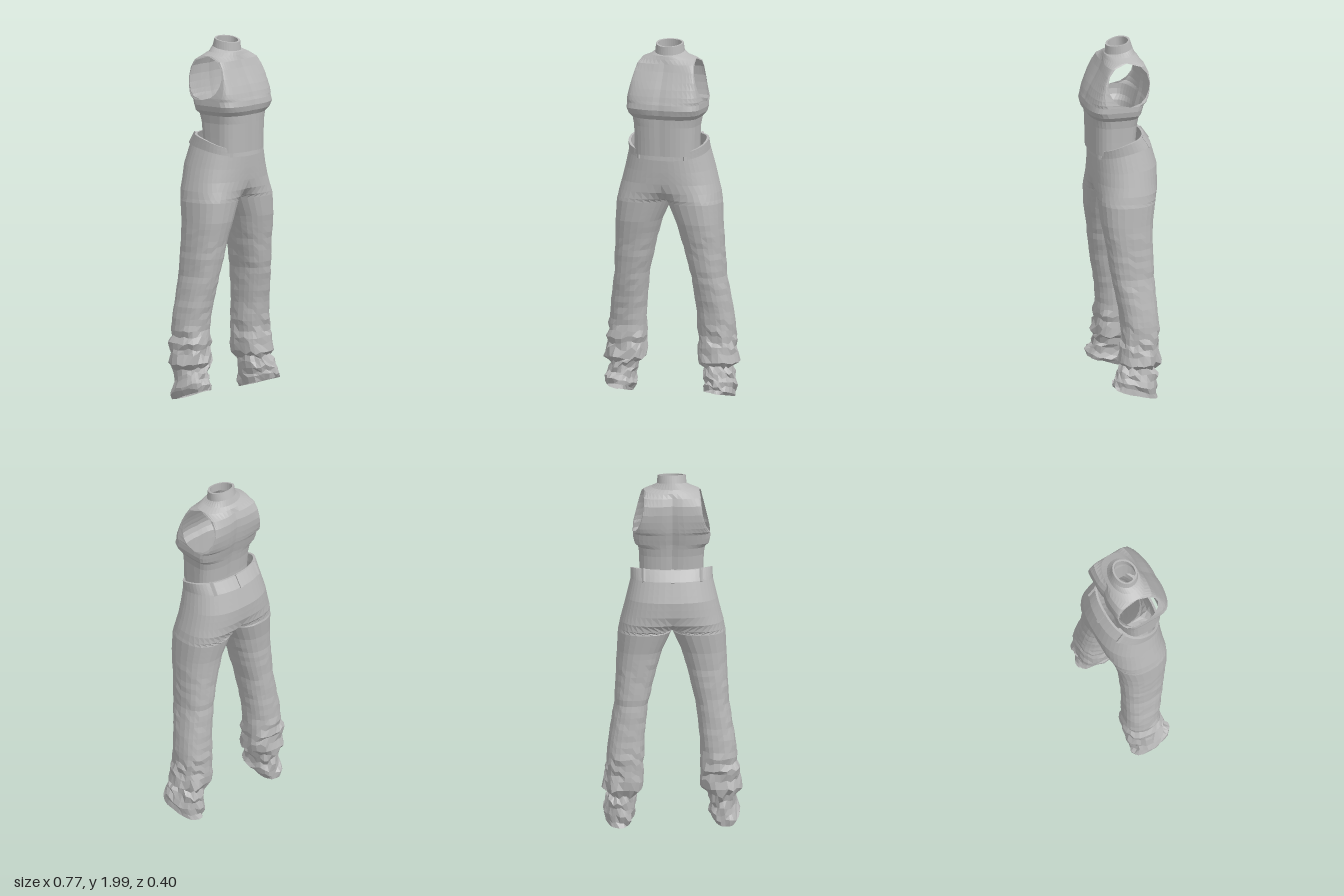
import * as THREE from 'three';

const cloth = new THREE.MeshStandardMaterial({ color: 0xb8b8b8, flatShading: true, side: THREE.DoubleSide });
cloth.name = 'grey cloth';

const lerp = THREE.MathUtils.lerp;
const spow = (v, p) => Math.sign(v) * Math.pow(Math.abs(v), p);
// repeatable noise in -1..1
const noise = (a, b, c) => {
  const s = Math.sin(a * 12.99 + b * 78.23 + c * 37.72) * 43758.55;
  return 2 * (s - Math.floor(s)) - 1;
};

// skin a list of point rows, bottom row first
function skin(name, rows, flip = false) {
  const n = rows[0].length, index = [];
  for (let r = 0; r < rows.length - 1; r++) {
    for (let c = 0; c < n - 1; c++) {
      const a = r * n + c, b = a + 1, d = a + n, e = d + 1;
      if (flip) index.push(a, d, b, b, d, e);
      else index.push(a, b, d, b, e, d);
    }
  }
  const g = new THREE.BufferGeometry().setFromPoints(rows.flat());
  g.setIndex(index);
  g.computeVertexNormals();
  const mesh = new THREE.Mesh(g, cloth);
  mesh.name = name;
  return mesh;
}

// insert evenly lerped rows between the key rows
function refine(keys, step) {
  const out = [];
  for (let i = 0; i < keys.length - 1; i++) {
    const n = Math.max(1, Math.round(Math.abs(keys[i + 1][0] - keys[i][0]) / step));
    for (let k = 0; k < n; k++) out.push(keys[i].map((v, j) => lerp(v, keys[i + 1][j], k / n)));
  }
  out.push(keys[keys.length - 1]);
  return out;
}

// trousers: height, sweep / PI, inner x, outer x, front z, back z, tilt, bend
const legKeys = [
  [0.045, 1, 0.22, 0.36, 0.1, -0.13, -0.037, 0],
  [0.1, 1, 0.21, 0.365, 0.085, -0.135, -0.025, 0],
  [0.19, 1, 0.2, 0.345, 0.06, -0.14, -0.01, 0],
  [0.22, 1, 0.165, 0.375, 0.068, -0.155, 0, 0],
  [0.27, 1, 0.155, 0.372, 0.06, -0.155, 0, 0],
  [0.4, 1, 0.155, 0.36, 0.05, -0.158, 0, 0],
  [0.5, 1, 0.152, 0.348, 0.058, -0.15, 0, 0],
  [0.7, 1, 0.13, 0.315, 0.095, -0.14, 0, 0],
  [0.9, 1, 0.08, 0.305, 0.122, -0.138, 0, 0],
  [1.0, 1, 0.05, 0.3, 0.14, -0.145, 0, 0],
  [1.11, 1, 0, 0.295, 0.147, -0.165, 0, 0],
  [1.13, 0.8, 0, 0.29, 0.148, -0.172, 0, 0],
  [1.17, 0.63, 0, 0.283, 0.15, -0.187, 0, 0],
  [1.22, 0.54, 0, 0.27, 0.153, -0.196, 0, 0],
  [1.3, 0.51, 0, 0.25, 0.156, -0.2, 0.008, 0.004],
  [1.4, 0.5, 0, 0.226, 0.157, -0.17, 0.032, 0.015],
  [1.455, 0.5, 0, 0.225, 0.152, -0.13, 0.0425, 0.0225],
];

// a point on a half-trouser section; angle 0 is the outer side, PI / 2 the front
function legPoint([y, sweep, xi, xo, zF, zB, tilt, bend], angle, side) {
  const c = v => spow(Math.cos(v), 0.85), s = spow(Math.sin(angle), 0.85);
  const edge = c(sweep * Math.PI);
  const rx = (xo - xi) / (1 - edge);
  return new THREE.Vector3(
    side * (xi + rx * (c(angle) - edge)),
    y - tilt * s - bend * s * s,
    (zF + zB) / 2 + s * (zF - zB) / 2
  );
}

function trouserHalf(side) {
  const N = 24;
  const keys = refine(legKeys, 0.035);
  // turn the waist edge inward
  const rim = legKeys[legKeys.length - 1];
  keys.push([rim[0], 0.5, 0, 0.212, 0.14, -0.118, rim[6], rim[7]]);
  keys.push([rim[0] - 0.05, 0.5, 0, 0.212, 0.14, -0.14, rim[6], rim[7]]);
  const rows = keys.map((key, r) => {
    const a = key[1] * Math.PI, y = key[0];
    // crumpled cloth gathers toward the ankle
    const crumple = 0.017 * THREE.MathUtils.smoothstep(0.5 - y, 0, 0.25) + (y < 0.95 ? 0.003 : 0);
    return Array.from({ length: N + 1 }, (_, i) => {
      const p = legPoint(key, lerp(a, -a, i / N), side);
      const k = i % N;
      const out = crumple * (0.55 * noise(k >> 1, r, side) + 0.45 * noise(r, 3, side));
      const cx = side * (key[2] + key[3]) / 2, cz = (key[4] + key[5]) / 2;
      const len = Math.hypot(p.x - cx, p.z - cz) || 1;
      p.x += out * (p.x - cx) / len;
      p.z += out * (p.z - cz) / len;
      if (r > 0) p.y += crumple * 0.6 * noise(k, r + 7, side);
      return p;
    });
  });
  return skin(side > 0 ? 'leftTrouserHalf' : 'rightTrouserHalf', rows, side < 0);
}

// belt loop standing on the waistband at a given angle
function beltLoop(angle, side) {
  const low = legPoint(legKeys[15], angle, side), high = legPoint(legKeys[16], angle, side);
  const loop = new THREE.Mesh(new THREE.BoxGeometry(0.018, low.distanceTo(high) + 0.008, 0.012), cloth);
  loop.position.copy(low).lerp(high, 0.5);
  const up = high.clone().sub(low).normalize();
  const out = new THREE.Vector3(low.x, 0, low.z + 0.01).normalize();
  const across = up.clone().cross(out).normalize();
  loop.quaternion.setFromRotationMatrix(new THREE.Matrix4().makeBasis(across, up, across.clone().cross(up)));
  loop.name = 'beltLoop';
  return loop;
}

// top: height, front half-width, back half-width, front z, back z, front roundness, back roundness
const topKeys = [
  [1.38, 0.175, 0.175, 0.172, -0.085, 0.5, 0.6],
  [1.46, 0.176, 0.176, 0.174, -0.088, 0.5, 0.6],
  [1.54, 0.178, 0.178, 0.176, -0.095, 0.5, 0.55],
  [1.585, 0.185, 0.185, 0.177, -0.103, 0.45, 0.5],
  [1.61, 0.205, 0.205, 0.193, -0.108, 0.32, 0.5],
  [1.64, 0.212, 0.212, 0.2, -0.117, 0.27, 0.5],
  [1.669, 0.211, 0.211, 0.194, -0.125, 0.3, 0.45],
  [1.685, 0.209, 0.203, 0.187, -0.13, 0.35, 0.45],
  [1.71, 0.203, 0.19, 0.178, -0.135, 0.4, 0.45],
  [1.75, 0.193, 0.175, 0.16, -0.141, 0.5, 0.5],
  [1.79, 0.183, 0.166, 0.138, -0.145, 0.5, 0.5],
  [1.84, 0.171, 0.16, 0.112, -0.143, 0.5, 0.5],
  [1.88, 0.163, 0.157, 0.095, -0.128, 0.5, 0.5],
  [1.905, 0.152, 0.152, 0.082, -0.108, 0.8, 0.7],
  [1.922, 0.11, 0.11, 0.075, -0.092, 0.9, 0.9],
  [1.94, 0.082, 0.082, 0.07, -0.08, 1, 1],
  [1.985, 0.077, 0.077, 0.066, -0.066, 1, 1],
  [1.985, 0.066, 0.066, 0.055, -0.056, 1, 1],
  [1.93, 0.066, 0.066, 0.055, -0.062, 1, 1],
];

function topPanel(name, front) {
  const N = 18;
  const rows = topKeys.map(([y, xF, xB, zF, zB, pF, pB]) => {
    // the armhole is an ellipse seen from the side
    const d = (y - 1.787) / 0.118;
    const gap = Math.abs(d) < 1 ? 0.12 * Math.sqrt(1 - d * d) : 0;
    const x = front ? xF : xB, z = front ? zF : zB, p = front ? pF : pB;
    const seam = (y > 1.9 ? -0.01 : y < 1.6 ? 0.02 : -0.015) + (front ? gap : -gap);
    return Array.from({ length: N + 1 }, (_, i) => {
      const t = lerp(-1, 1, i / N) * Math.PI / 2 * (front ? 1 : -1);
      const pz = seam + (z - seam) * Math.pow(Math.max(0, Math.cos(t)), p);
      const px = x * Math.sin(t);
      // shallow groove down the middle, and a collar that rises to the back
      const groove = y < 1.9 ? (front ? -0.005 : 0.012) * Math.exp(-((px / 0.03) ** 2)) : 0;
      const tilt = y > 1.93 ? -0.2 * pz : 0;
      return new THREE.Vector3(px, y + tilt, pz + groove);
    });
  });
  return skin(name, rows);
}

export function createModel() {
  const model = new THREE.Group();
  model.name = 'outfit';

  const top = new THREE.Group();
  top.name = 'sleevelessTop';
  top.add(topPanel('topFront', true), topPanel('topBack', false));

  const trousers = new THREE.Group();
  trousers.name = 'trousers';
  for (const side of [1, -1]) {
    trousers.add(trouserHalf(side), beltLoop(1.0, side), beltLoop(-0.85, side));
  }
  trousers.add(beltLoop(-Math.PI / 2, 1));

  model.add(top, trousers);
  return model;
}
